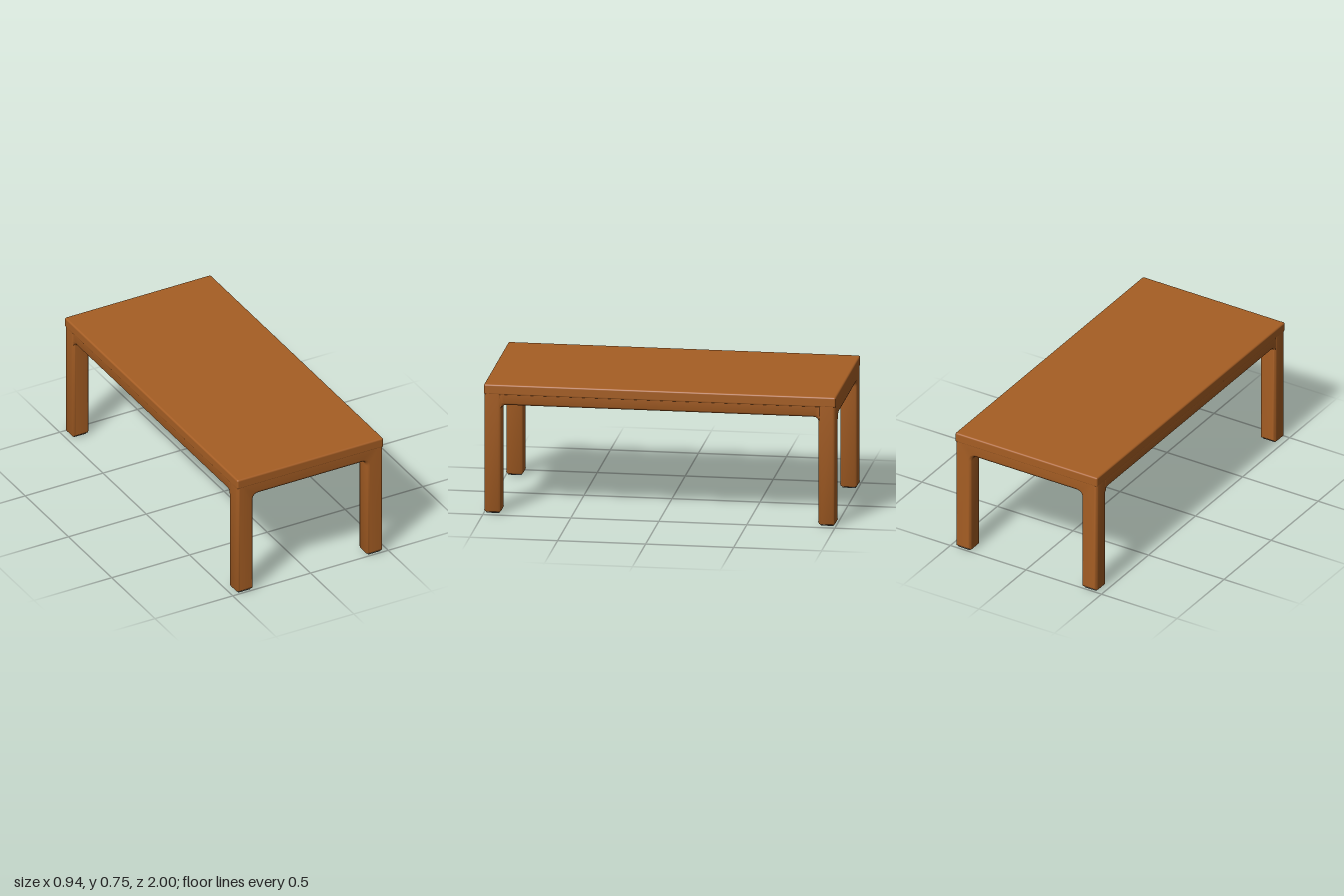
import * as THREE from 'three';
import { toCreasedNormals } from 'three/addons/utils/BufferGeometryUtils.js';
import { RoundedBoxGeometry } from 'three/addons/geometries/RoundedBoxGeometry.js';

const W = 0.47, D = 1.0, H = 0.75;   // half width, half depth, height
const LEG_X = 0.105, LEG_Z = 0.1;    // leg section
const RAIL_Y = 0.627, FOOT_Y = 0.007, FRAME_TOP = 0.74;

export function createModel() {
  const wood = new THREE.MeshStandardMaterial({ color: 0xa65e24 });
  wood.name = 'warm brown wood';
  const grey = new THREE.MeshStandardMaterial({ color: 0x5a5f62 });
  grey.name = 'grey foot pad';
  const model = new THREE.Group();
  model.name = 'table';

  const add = (name, geometry, material, x, y, z, turn = 0) => {
    const mesh = new THREE.Mesh(geometry, material);
    mesh.name = name;
    mesh.position.set(x, y, z);
    mesh.rotation.y = turn;
    model.add(mesh);
  };

  // Extrude a shape around its own middle plane with soft, smooth edges
  const softExtrude = (shape, depth, r) => {
    const g = new THREE.ExtrudeGeometry(shape, {
      depth: depth - 2 * r, curveSegments: 6, bevelEnabled: true,
      bevelThickness: r, bevelSize: r, bevelOffset: -r, bevelSegments: 5,
    });
    g.translate(0, 0, -(depth - 2 * r) / 2);
    return toCreasedNormals(g, 0.7);
  };

  // End frame: two legs and a rail in one piece, filleted on the inside
  const o = W - 0.001, i = W - LEG_X, f = 0.035, c = 0.012;
  const frame = new THREE.Shape();
  frame.moveTo(-o, FRAME_TOP);
  frame.lineTo(-o, FOOT_Y + c);
  frame.quadraticCurveTo(-o, FOOT_Y, -o + c, FOOT_Y);
  frame.lineTo(-i - c, FOOT_Y);
  frame.quadraticCurveTo(-i, FOOT_Y, -i, FOOT_Y + c);
  frame.lineTo(-i, RAIL_Y - f);
  frame.quadraticCurveTo(-i, RAIL_Y, -i + f, RAIL_Y);
  frame.lineTo(i - f, RAIL_Y);
  frame.quadraticCurveTo(i, RAIL_Y, i, RAIL_Y - f);
  frame.lineTo(i, FOOT_Y + c);
  frame.quadraticCurveTo(i, FOOT_Y, i + c, FOOT_Y);
  frame.lineTo(o - c, FOOT_Y);
  frame.quadraticCurveTo(o, FOOT_Y, o, FOOT_Y + c);
  frame.lineTo(o, FRAME_TOP);
  const frameGeometry = softExtrude(frame, LEG_Z, 0.018);

  // Long side rail with small fillets where it meets the legs
  const a = D - LEG_Z + 0.02, b = D - LEG_Z, sf = 0.03, sideY = RAIL_Y + 0.003;
  const rail = new THREE.Shape();
  rail.moveTo(-a, FRAME_TOP);
  rail.lineTo(-a, sideY - sf);
  rail.lineTo(-b, sideY - sf);
  rail.quadraticCurveTo(-b, sideY, -b + sf, sideY);
  rail.lineTo(b - sf, sideY);
  rail.quadraticCurveTo(b, sideY, b, sideY - sf);
  rail.lineTo(a, sideY - sf);
  rail.lineTo(a, FRAME_TOP);
  const railGeometry = softExtrude(rail, 0.09, 0.02);

  // Table top, leaving a shallow recess between the rails below
  add('tableTop', new RoundedBoxGeometry(2 * W, 0.06, 2 * D, 4, 0.01), wood, 0, H - 0.03, 0);

  const padGeometry = new RoundedBoxGeometry(0.082, 0.014, 0.078, 3, 0.006);
  for (const s of [-1, 1]) {
    add(s > 0 ? 'frontLegFrame' : 'backLegFrame', frameGeometry, wood, 0, 0, s * (D - 0.001 - LEG_Z / 2));
    add(s > 0 ? 'leftRail' : 'rightRail', railGeometry, wood, s * (W - 0.003 - 0.045), 0, 0, Math.PI / 2);
    // Foot pads under the legs
    for (const t of [-1, 1]) {
      add((t > 0 ? 'front' : 'back') + (s > 0 ? 'Left' : 'Right') + 'FootPad',
        padGeometry, grey, s * (W - LEG_X / 2), 0.007, t * (D - LEG_Z / 2));
    }
  }
  return model;
}
